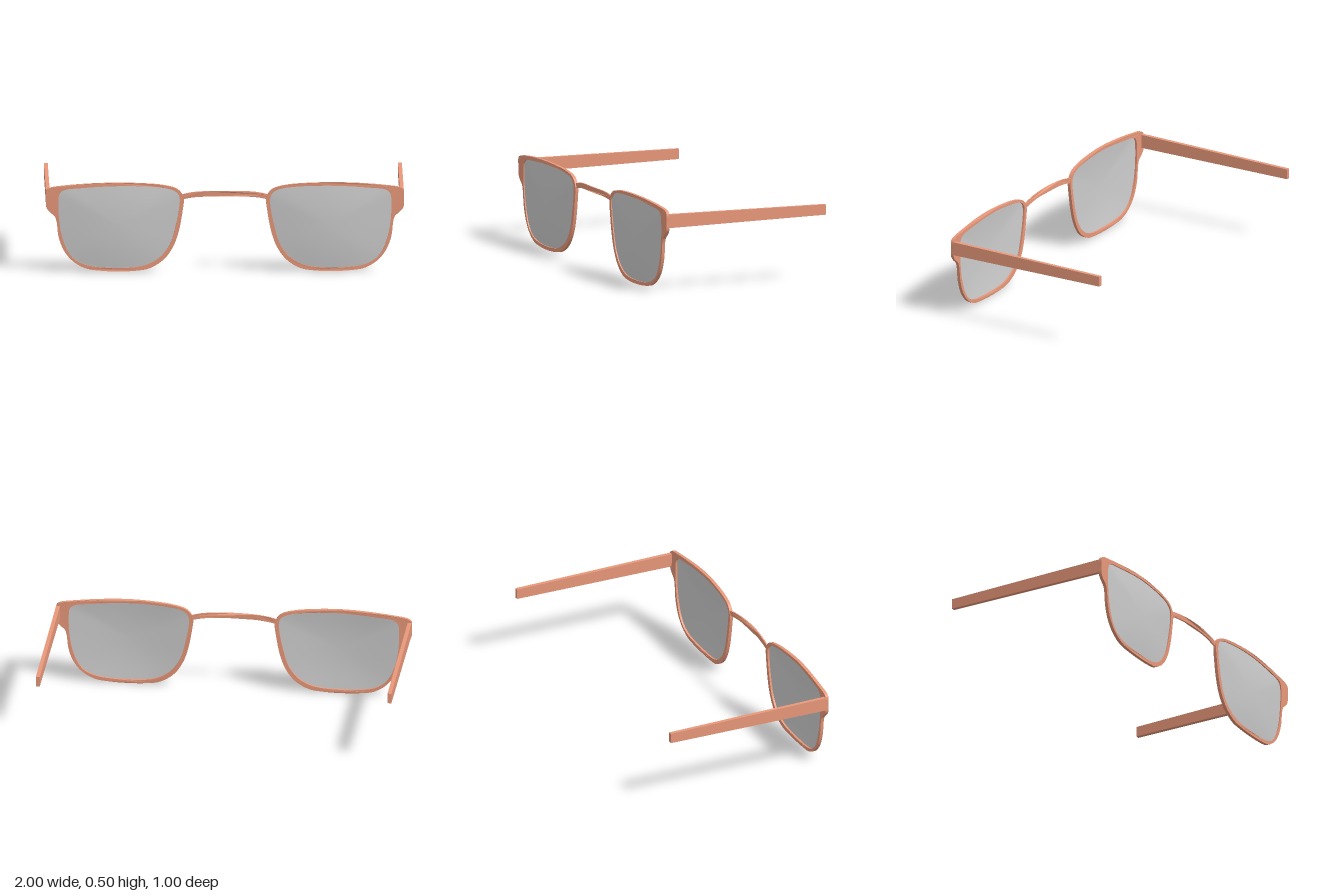
import * as THREE from 'three';
import { toCreasedNormals } from 'three/addons/utils/BufferGeometryUtils.js';

const frameMat = new THREE.MeshStandardMaterial({ color: 0xe8987a });
const lensMat = new THREE.MeshStandardMaterial({ color: 0xcccccc, side: THREE.DoubleSide });

// Outlines of one rim on the +x side, counter-clockwise pairs are not required
const OUTER = [
  [0.23, 0.41], [0.245, 0.447], [0.275, 0.472], [0.35, 0.491], [0.46, 0.501], [0.6, 0.505], [0.75, 0.5],
  [0.9, 0.487], [0.98, 0.474], [0.998, 0.46], [1, 0.41], [0.998, 0.365], [0.98, 0.34], [0.95, 0.312],
  [0.94, 0.28], [0.93, 0.2], [0.9, 0.12], [0.85, 0.06], [0.78, 0.02], [0.7, 0.007], [0.6, 0.002],
  [0.5, 0.006], [0.42, 0.02], [0.34, 0.07], [0.29, 0.14], [0.26, 0.22], [0.237, 0.34],
];
const INNER = [
  [0.252, 0.4], [0.262, 0.44], [0.3, 0.465], [0.4, 0.481], [0.6, 0.487], [0.8, 0.475], [0.9, 0.462],
  [0.924, 0.44], [0.93, 0.38], [0.925, 0.28], [0.91, 0.2], [0.88, 0.12], [0.84, 0.07], [0.77, 0.037],
  [0.6, 0.022], [0.45, 0.036], [0.365, 0.08], [0.31, 0.15], [0.28, 0.24],
];

// Smooth closed outline, mirrored for side = -1
function outline(pairs, side, count) {
  const curve = new THREE.CatmullRomCurve3(
    pairs.map(([x, y]) => new THREE.Vector3(x * side, y, 0)), true, 'centripetal');
  const pts = curve.getPoints(count).slice(0, -1).map((p) => new THREE.Vector2(p.x, p.y));
  return THREE.ShapeUtils.isClockWise(pts) ? pts.reverse() : pts;
}

// Back face of a rim: bowed forward around the lens centre, leaning slightly
function rimZ(x, y) {
  const u = Math.min(1, Math.abs(Math.abs(x) - 0.59) / 0.4);
  return 0.458 + 0.0065 * (1 + Math.cos(Math.PI * u)) + 0.008 * (y - 0.25);
}

// Extrude a flat outline and bend it along z
function bentPlate(points, hole, depth, zAt) {
  const shape = new THREE.Shape(points);
  if (hole) shape.holes.push(new THREE.Path(hole));
  const geo = new THREE.ExtrudeGeometry(shape, { depth, bevelEnabled: false });
  const p = geo.attributes.position;
  for (let i = 0; i < p.count; i++) p.setZ(i, p.getZ(i) + zAt(p.getX(i), p.getY(i)));
  return toCreasedNormals(geo, 0.6);
}

// Domed lens made of shrinking rings of the rim opening
function lensGeometry(side) {
  const rings = 10;
  const edge = outline(INNER, side, 96);
  const n = edge.length;
  const centre = new THREE.Vector2(0.59 * side, 0.26);
  const pos = [];
  const index = [];
  for (let r = 0; r <= rings; r++) {
    const s = (r / rings) * 1.01;
    for (const e of edge) {
      const x = centre.x + (e.x - centre.x) * s;
      const y = centre.y + (e.y - centre.y) * s;
      pos.push(x, y, rimZ(x, y) + 0.011 + 0.015 * Math.max(0, 1 - s * s));
    }
  }
  for (let r = 0; r < rings; r++) {
    for (let i = 0; i < n; i++) {
      const j = (i + 1) % n;
      const a = r * n + i, b = r * n + j, c = a + n, d = b + n;
      index.push(a, c, d);
      if (r > 0) index.push(a, d, b);
    }
  }
  const geo = new THREE.BufferGeometry();
  geo.setAttribute('position', new THREE.Float32BufferAttribute(pos, 3));
  geo.setIndex(index);
  geo.computeVertexNormals();
  return geo;
}

// Straight arm, tapering towards its rear end
function templeGeometry(side) {
  const geo = new THREE.BoxGeometry(0.022, 1, 0.963);
  geo.translate(0.989 * side, 0, -0.0185);
  const p = geo.attributes.position;
  for (let i = 0; i < p.count; i++) {
    const top = p.getY(i) > 0;
    const front = p.getZ(i) > 0;
    p.setY(i, top ? (front ? 0.455 : 0.443) : (front ? 0.378 : 0.385));
  }
  geo.computeVertexNormals();
  return geo;
}

// Arched strip between the rims
function bridgeGeometry() {
  const steps = 32;
  const upper = [];
  const lower = [];
  for (let i = 0; i <= steps; i++) {
    const x = -0.242 + (0.484 * i) / steps;
    const k = (x / 0.242) ** 2;
    lower.push(new THREE.Vector2(x, 0.425 - 0.02 * k * k));
    upper.push(new THREE.Vector2(x, 0.455 - 0.021 * k * k));
  }
  return bentPlate([...lower, ...upper.reverse()], null, 0.008,
    (x) => 0.4625 + 0.0065 * (1 + Math.cos((Math.PI * x) / 0.242)));
}

export function createModel() {
  const model = new THREE.Group();
  model.name = 'glasses';
  const add = (name, geo, mat) => {
    const mesh = new THREE.Mesh(geo, mat);
    mesh.name = name;
    model.add(mesh);
  };
  for (const [label, side] of [['left', 1], ['right', -1]]) {
    add(label + 'Rim', bentPlate(outline(OUTER, side, 140), outline(INNER, side, 96), 0.018, rimZ), frameMat);
    add(label + 'Lens', lensGeometry(side), lensMat);
    add(label + 'Temple', templeGeometry(side), frameMat);
  }
  add('bridge', bridgeGeometry(), frameMat);
  return model;
}
